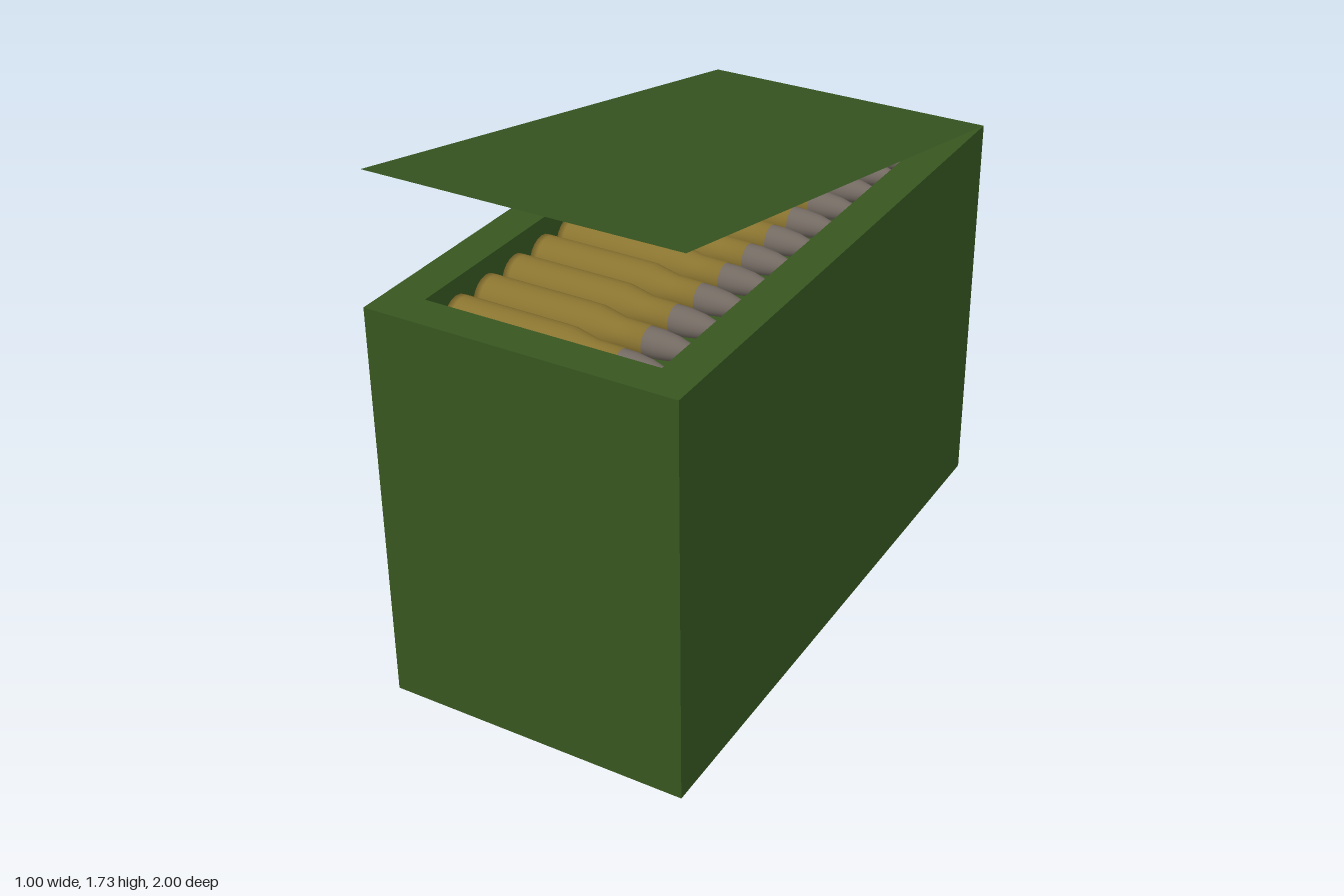
import * as THREE from 'three';

const paint = (color, extra = {}) => Object.assign(new THREE.MeshStandardMaterial({ color }), extra);

export function createModel() {
  const group = new THREE.Group();
  const green = paint(0x375620);
  const brass = paint(0x8a7430);
  const lead = paint(0x736a62, { side: THREE.DoubleSide });
  const add = (name, geometry, material, parent = group) => {
    const mesh = new THREE.Mesh(geometry, material);
    mesh.name = name;
    parent.add(mesh);
    return mesh;
  };
  const rect = (Type, x, z) => new Type().setFromPoints(
    [[-x, -z], [x, -z], [x, z], [-x, z], [-x, -z]].map(p => new THREE.Vector2(...p)));

  // Thick-walled open crate
  const height = 1.33, floorTop = 1.18;
  const outline = rect(THREE.Shape, 0.5, 1);
  outline.holes.push(rect(THREE.Path, 0.38, 0.88));
  const walls = new THREE.ExtrudeGeometry(outline, { depth: height, bevelEnabled: false });
  walls.rotateX(-Math.PI / 2);
  add('crateWalls', walls, green);

  // Raised floor that carries the cartridges
  add('crateFloor', new THREE.BoxGeometry(0.76, floorTop, 1.76), green).position.y = floorTop / 2;

  // Thin lid hinged along the top back edge, standing ajar
  const lidGeometry = new THREE.PlaneGeometry(1, 2).rotateX(-Math.PI / 2).translate(0, 0, 1);
  const lid = add('lid', lidGeometry, paint(0x375620, { side: THREE.DoubleSide }));
  lid.position.set(0, height, -1);
  lid.rotation.x = -Math.asin(0.2);

  // Cartridge profiles: radius, distance along the axis
  const lathe = points => new THREE.LatheGeometry(points.map(p => new THREE.Vector2(...p)), 20)
    .rotateZ(-Math.PI / 2);
  const caseGeometry = lathe([[0, -0.34], [0.066, -0.34], [0.066, -0.32], [0.066, -0.31],
    [0.065, 0], [0.064, 0.04], [0.047, 0.12], [0.046, 0.2], [0, 0.2]]);
  const tipGeometry = lathe([[0.044, 0.19], [0.043, 0.24], [0.036, 0.29], [0.022, 0.34], [0, 0.37]]);

  // One row of cartridges lying across the crate, tips towards +x
  const count = 12, step = 0.144;
  for (let i = 0; i < count; i++) {
    const cartridge = new THREE.Group();
    cartridge.name = 'cartridge' + (i + 1);
    cartridge.position.set(0, floorTop + 0.066, (i - (count - 1) / 2) * step);
    add('case', caseGeometry, brass, cartridge);
    add('tip', tipGeometry, lead, cartridge);
    group.add(cartridge);
  }
  return group;
}
